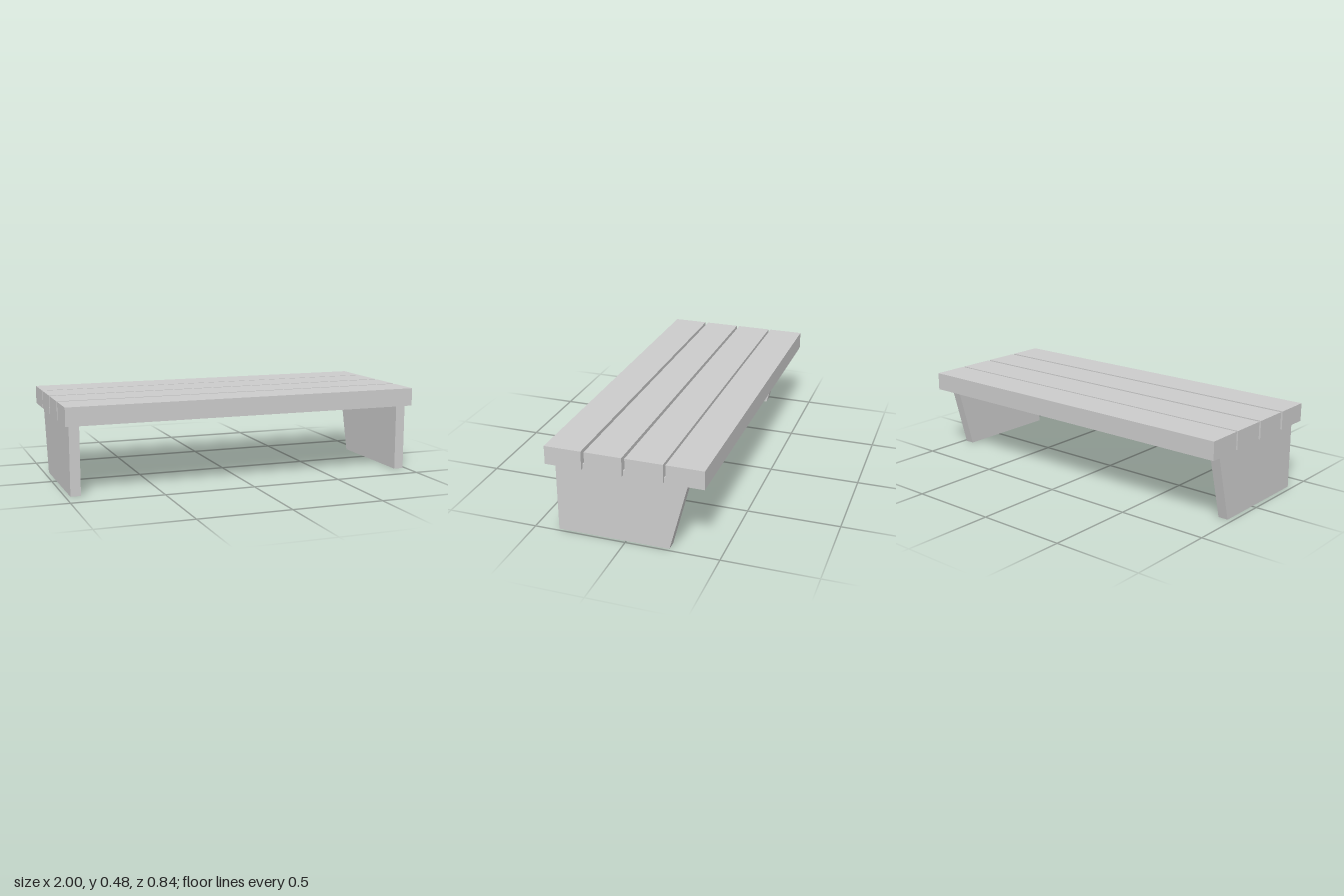
import * as THREE from 'three';

export function createModel() {
  const group = new THREE.Group();
  const material = new THREE.MeshStandardMaterial({ color: 0xcccccc, flatShading: true });

  const add = (name, geometry, x, y, z) => {
    const mesh = new THREE.Mesh(geometry, material);
    mesh.name = name;
    mesh.position.set(x, y, z);
    group.add(mesh);
  };

  // Four seat planks with slightly uneven gaps
  const plank = new THREE.BoxGeometry(2, 0.1, 0.199);
  [0.322, 0.106, -0.109, -0.32].forEach((z, i) => add(`seatPlank${i + 1}`, plank, 0, 0.426, z));

  // Leg panel: upright front edge, sloping back edge, top let into the planks
  const thickness = 0.055;
  const profile = new THREE.Shape([
    new THREE.Vector2(0.371, 0),
    new THREE.Vector2(0.371, 0.401),
    new THREE.Vector2(-0.337, 0.401),
    new THREE.Vector2(-0.232, 0),
  ]);
  const leg = new THREE.ExtrudeGeometry(profile, { depth: thickness, bevelEnabled: false });
  leg.translate(0, 0, -thickness / 2).rotateY(-Math.PI / 2); // profile x becomes z
  add('rightLegPanel', leg, -0.946, 0, 0);
  add('leftLegPanel', leg, 0.957, 0, 0);

  return group;
}
